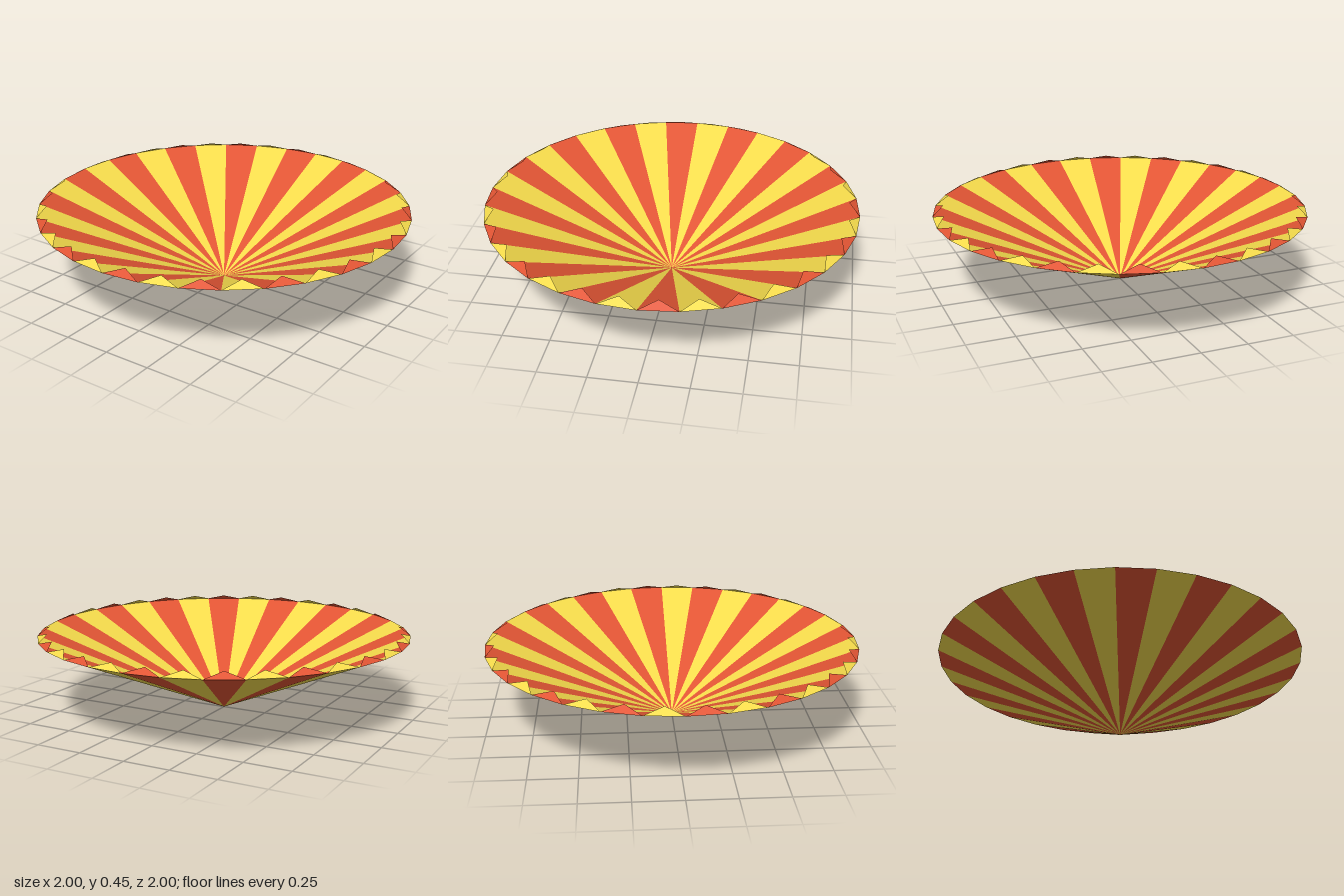
import * as THREE from 'three';

const SIDES = 32, RIM_Y = 0.425, TIP_Y = 0.453, TIP_R = 0.945;

// Point at an angle step around the y axis, starting at +z and turning towards +x
const ring = (step, radius, y) => {
  const a = (step / SIDES) * Math.PI * 2;
  return [Math.sin(a) * radius, y, Math.cos(a) * radius];
};

// Every second triangle around the circle, merged into one mesh
function stripes(name, material, first, triangle) {
  const points = [];
  for (let i = first; i < SIDES; i += 2) points.push(...triangle(i).flat());
  const geometry = new THREE.BufferGeometry();
  geometry.setAttribute('position', new THREE.Float32BufferAttribute(points, 3));
  geometry.computeVertexNormals();
  const mesh = new THREE.Mesh(geometry, material);
  mesh.name = name;
  return mesh;
}

export function createModel() {
  const model = new THREE.Group();
  model.name = 'stripedCanopy';

  // Cone panel from the low centre to the rim, facing outwards
  const panel = i => [[0, 0, 0], ring(i + 1, 1, RIM_Y), ring(i, 1, RIM_Y)];
  // Pointed flap on the rim, leaning inwards
  const flap = i => [ring(i, 1, RIM_Y), ring(i + 1, 1, RIM_Y), ring(i + 0.5, TIP_R, TIP_Y)];

  [['red', 0xe25534], ['yellow', 0xf6dc4c]].forEach(([label, color], first) => {
    const material = new THREE.MeshStandardMaterial({ color, flatShading: true, side: THREE.DoubleSide });
    model.add(stripes(label + 'Panels', material, first, panel));
    model.add(stripes(label + 'Flaps', material, first, flap));
  });
  return model;
}
